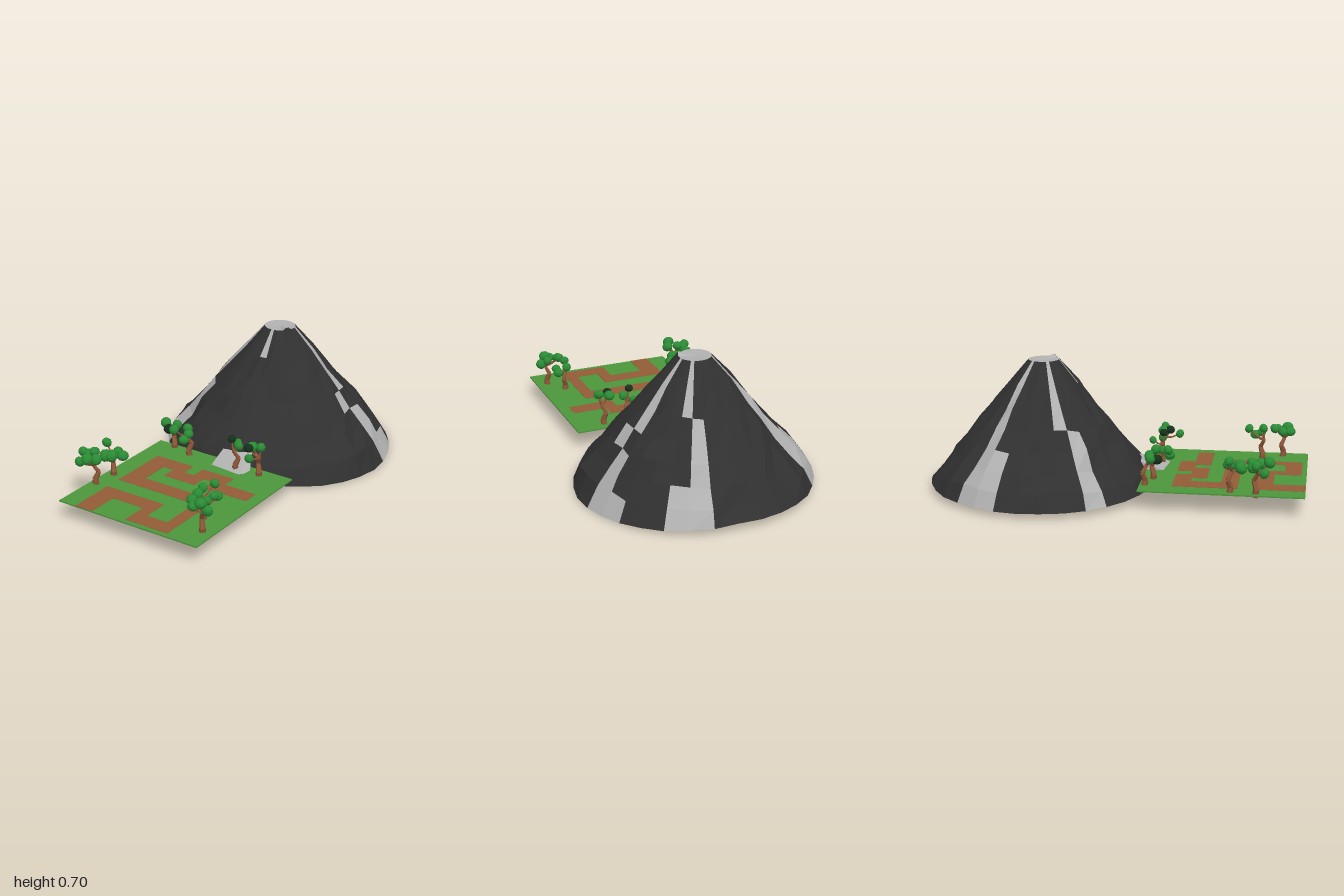
import * as THREE from 'three';
import { ConvexGeometry } from 'three/addons/geometries/ConvexGeometry.js';

const mat = color => new THREE.MeshStandardMaterial({ color, flatShading: true });
const GRASS = mat(0x4c963c), PATH = mat(0x935b36), BARK = mat(0x8a5636);
const LEAF = mat(0x2a8a34), DARK_LEAF = mat(0x14301a);
const ROCK = mat(0x303030), LAVA = mat(0xb0b0b0);
const V = (x, y, z) => new THREE.Vector3(x, y, z);

function add(parent, name, geometry, material) {
  const m = new THREE.Mesh(geometry, material);
  m.name = name;
  parent.add(m);
  return m;
}

function seeded(seed) {
  return () => {
    seed = (seed * 16807) % 2147483647;
    return seed / 2147483647;
  };
}

// Tapered stick between two points
function limb(parent, name, a, b, r0, r1) {
  const d = b.clone().sub(a);
  const m = add(parent, name, new THREE.CylinderGeometry(r1, r0, d.length(), 6), BARK);
  m.position.copy(a).addScaledVector(d, 0.5);
  m.quaternion.setFromUnitVectors(V(0, 1, 0), d.normalize());
}

function trianglesMesh(parent, name, points, material) {
  const g = new THREE.BufferGeometry().setFromPoints(points);
  g.computeVertexNormals();
  add(parent, name, g, material);
}

// Faceted cone with pale streaks running down its flanks
function makeVolcano() {
  const group = new THREE.Group();
  group.name = 'volcano';
  const rand = seeded(71), N = 32, cz = -0.395, bands = 7;
  const radii = [0.083, 0.185, 0.268, 0.345, 0.42, 0.495, 0.562, 0.618];
  const rings = radii.map((r, i) => Array.from({ length: N }, (_, k) => {
    const a = (k - 0.25) / N * Math.PI * 2;
    const rim = i === 0, foot = i === bands;
    const wobble = rim ? 1 : foot ? 1 - 0.015 * rand() : 1 + (rand() - 0.5) * 0.07;
    const x = Math.sin(a) * r * wobble * 1.015, z = Math.cos(a) * r * wobble * 0.985;
    let y = 0.688 - 1.2 * (r - 0.083) + (rand() - 0.5) * 0.025;
    if (rim) y = k === 5 || k === 6 ? 0.701 : 0.688;
    // the underside sags towards both sides, more on the left
    if (foot) y = 0.047 - (x > 0 ? 0.075 : -0.035) * x;
    return V(x, y, cz + z);
  }));
  // streaks: column at the rim, column at the foot, sideways bend, band where it widens
  const streaks = [[12.5, 12.5, 1.5, 5], [9, 9, -0.55, 6], [20.6, 21, 0, 4], [26, 27, 0, 7]];
  const isPale = (k, i) => (k === 0 && i === 0) || streaks.some(([from, to, bend, wide]) => {
    const t = i / (bands - 1);
    const c = Math.round(from + (to - from) * t + bend * Math.sin(Math.PI * t));
    return k === c || (i >= wide && k === c + 1);
  });
  const rock = [], pale = [];
  const floor = V(0, 0.682, cz), base = V(0, 0.047, cz);
  for (let k = 0; k < N; k++) {
    const n = (k + 1) % N;
    for (let i = 0; i < bands; i++) {
      const [ua, ub, la, lb] = [rings[i][k], rings[i][n], rings[i + 1][k], rings[i + 1][n]];
      (isPale(k, i) ? pale : rock).push(la, lb, ub, la, ub, ua);
    }
    pale.push(floor, rings[0][k], rings[0][n]);
    rock.push(base, rings[bands][n], rings[bands][k]);
  }
  trianglesMesh(group, 'volcanoRock', rock, ROCK);
  trianglesMesh(group, 'paleStreaksAndCrater', pale, LAVA);

  // Pale spill at the foot, sloping onto the grass
  add(group, 'lavaSpill', new ConvexGeometry([
    V(-0.02, 0.165, 0.085), V(0.14, 0.155, 0.09), V(0.2, 0.112, 0.2),
    V(0.18, 0.1, 0.285), V(-0.01, 0.1, 0.265), V(-0.02, 0.055, 0.15)]), LAVA);
  return group;
}

// Flat grass tile with a winding path of straight strips
function makeGround() {
  const group = new THREE.Group();
  group.name = 'ground';
  add(group, 'grass', new THREE.BoxGeometry(0.84, 0.007, 0.845), GRASS).position.set(0.01, 0.1035, 0.5775);
  // turning points, alternately the next z and the next x
  const turns = [0.79, 0.02, 0.93, 0.2075, 0.6125, -0.2525, 0.365, -0.1075, 0.445, 0.02, 0.365, 0.1475, 0.445, 0.335];
  let x = -0.2525, z = 0.955;
  turns.forEach((v, i) => {
    const nx = i % 2 ? v : x, nz = i % 2 ? z : v;
    const left = Math.min(x, nx), right = Math.max(x, nx);
    const padLeft = left < -0.2 ? 0.0525 : 0.0325, padRight = right < -0.2 ? 0.0525 : 0.0325;
    const x0 = left - padLeft, x1 = right + padRight;
    add(group, 'pathStrip', new THREE.BoxGeometry(x1 - x0, 0.004, Math.abs(nz - z) + 0.088), PATH)
      .position.set((x0 + x1) / 2, 0.1065, (z + nz) / 2);
    x = nx;
    z = nz;
  });
  return group;
}

// Crooked trunk, thin branches and faceted leaf clumps spread round the crown
function makeTree([x, z, crownX, crownZ, spread, count, darkCount], index) {
  const tree = new THREE.Group();
  tree.name = 'tree';
  const rand = seeded(300 + index * 97), lean = index % 2 ? 1 : -1;
  const trunk = [0, 0.006, -0.008, 0.012].map((o, i) => V(x + o * lean, 0.09 + i * 0.041, z + o));
  for (let i = 0; i < 3; i++) limb(tree, 'trunk', trunk[i], trunk[i + 1], 0.019 - i * 0.0035, 0.0155 - i * 0.0035);
  const top = trunk[3];
  for (let i = 0; i < count; i++) {
    const a = index + i * 2.4, d = spread * (0.55 + 0.45 * rand());
    const end = V(crownX + Math.cos(a) * d, 0.228 + 0.055 * rand(), crownZ + Math.sin(a) * d);
    const elbow = top.clone().lerp(end, 0.5);
    elbow.y -= 0.008;
    limb(tree, 'branch', top, elbow, 0.007, 0.005);
    limb(tree, 'branch', elbow, end, 0.005, 0.003);
    const size = (z < 0.3 ? 0.02 : 0.024) + 0.01 * rand();
    const leaf = add(tree, 'leafClump', new THREE.IcosahedronGeometry(size, 1), i < darkCount ? DARK_LEAF : LEAF);
    leaf.position.copy(end);
    leaf.rotation.set(i, i * 1.7, 0);
    leaf.scale.y = 0.88;
  }
  return tree;
}

export function createModel() {
  const model = new THREE.Group();
  model.name = 'volcanoScene';
  model.add(makeVolcano(), makeGround());
  // trunk x, z, crown x, z, crown spread, leaf clumps, dark clumps
  const trees = [
    [-0.175, 0.21, -0.18, 0.26, 0.06, 4, 0],
    [-0.3, 0.18, -0.3, 0.22, 0.05, 3, 1],
    [0.13, 0.22, 0.12, 0.21, 0.045, 3, 1],
    [0.26, 0.21, 0.26, 0.25, 0.06, 4, 1],
    [-0.37, 0.75, -0.4, 0.77, 0.065, 6, 0],
    [-0.365, 0.62, -0.35, 0.64, 0.06, 5, 0],
    [0.3, 0.75, 0.32, 0.72, 0.055, 4, 0],
    [0.365, 0.86, 0.345, 0.86, 0.07, 6, 0],
  ];
  trees.forEach((t, i) => model.add(makeTree(t, i)));
  return model;
}
